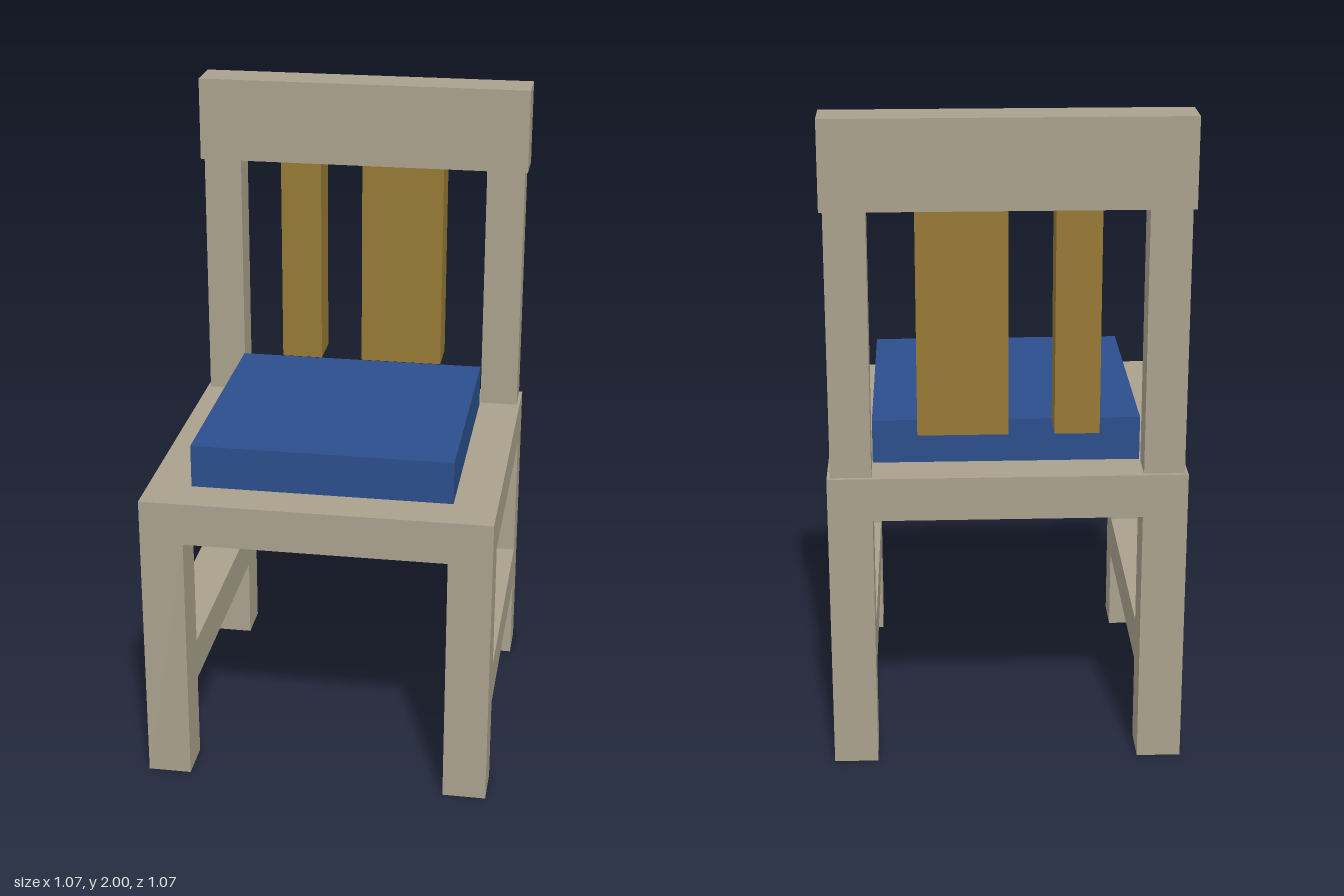
import * as THREE from 'three';

export function createModel() {
  const model = new THREE.Group();
  model.name = 'chair';

  const frameWood = new THREE.MeshStandardMaterial({ name: 'pale wood', color: 0xa9a08c });
  const slatWood = new THREE.MeshStandardMaterial({ name: 'golden wood', color: 0x967834 });
  const fabric = new THREE.MeshStandardMaterial({ name: 'blue fabric', color: 0x2b4e8c });

  // Box given by its [min, max] extent on each axis
  function addBox(name, material, [x0, x1], [y0, y1], [z0, z1]) {
    const mesh = new THREE.Mesh(new THREE.BoxGeometry(x1 - x0, y1 - y0, z1 - z0), material);
    mesh.position.set((x0 + x1) / 2, (y0 + y1) / 2, (z0 + z1) / 2);
    mesh.name = name;
    model.add(mesh);
  }

  const outer = 0.533, inner = 0.4;
  const seatBottom = 0.8, seatTop = 0.933, cushionTop = 1.067, railBottom = 1.735;
  const mirrored = (side, a, b) => (side > 0 ? [a, b] : [-b, -a]);

  // Seat and cushion
  addBox('seat', frameWood, [-outer, outer], [seatBottom, seatTop], [-outer, outer]);
  addBox('cushion', fabric, [-inner, inner], [seatTop, cushionTop], [-0.398, inner]);

  for (const side of [1, -1]) {
    const label = side > 0 ? 'left' : 'right';
    const legX = mirrored(side, inner, outer);

    // Legs, side stretcher and back post
    addBox(label + 'FrontLeg', frameWood, legX, [0, seatBottom], [inner, outer]);
    addBox(label + 'BackLeg', frameWood, legX, [0, seatBottom], [-outer, -inner]);
    addBox(label + 'Stretcher', frameWood, legX, [0.267, 0.4], [-inner, inner]);
    addBox(label + 'BackPost', frameWood, mirrored(side, 0.402, 0.523), [seatTop, railBottom], [-0.52, -0.413]);
  }

  // Top rail with two uneven slats hanging below it
  addBox('topRail', frameWood, [-outer, outer], [railBottom, 2], [-outer, -inner]);
  addBox('narrowSlat', slatWood, [-0.267, -0.135], [cushionTop, railBottom], [-0.531, -0.4]);
  addBox('wideSlat', slatWood, [0, 0.265], [cushionTop, railBottom], [-0.531, -0.4]);

  return model;
}
